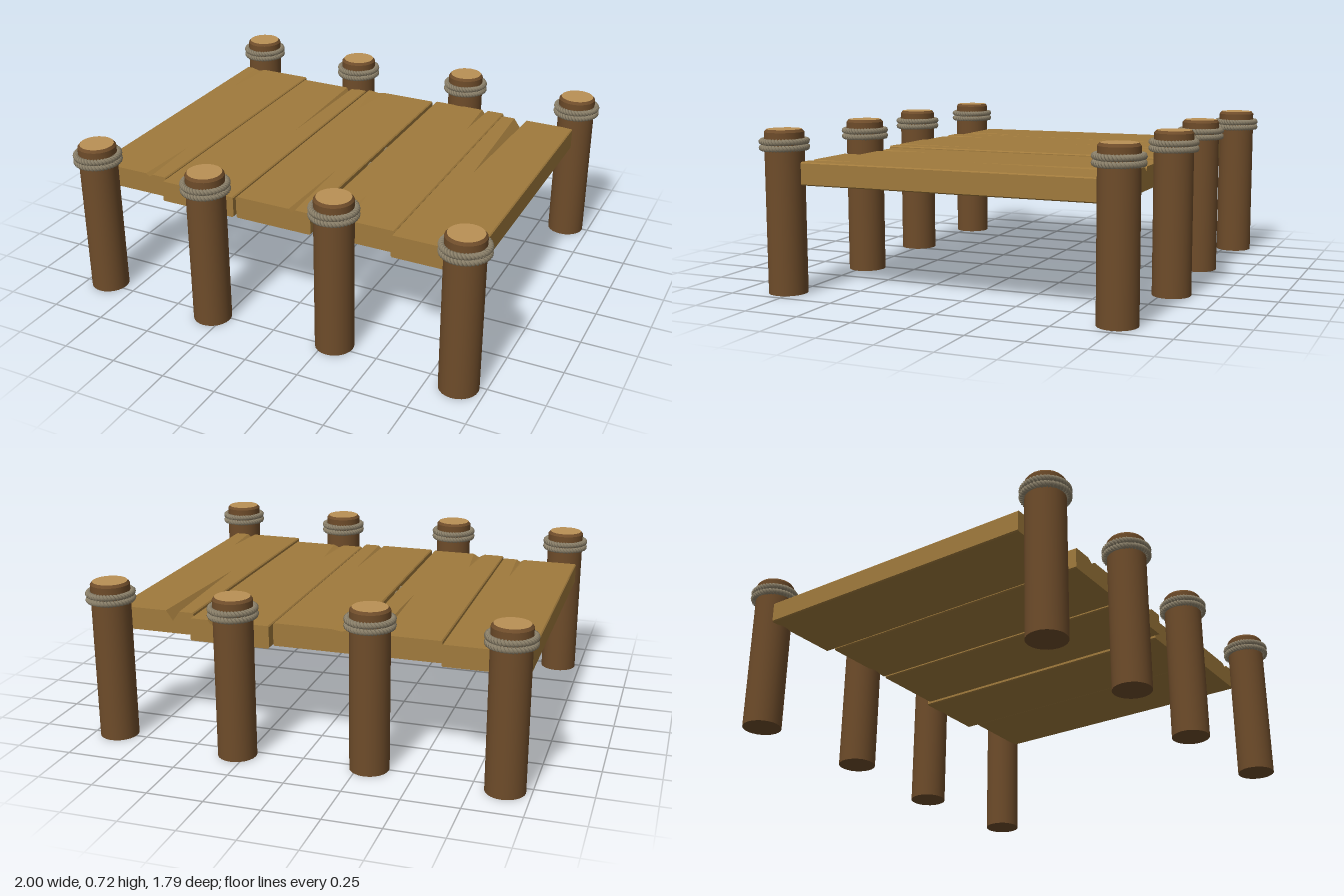
import * as THREE from 'three';
import { mergeGeometries } from 'three/addons/utils/BufferGeometryUtils.js';

const plankMat = new THREE.MeshStandardMaterial({ color: 0xa07a3c, flatShading: true });
const barkMat = new THREE.MeshStandardMaterial({ color: 0x6e4c2a });
const cutMat = new THREE.MeshStandardMaterial({ color: 0xba9055 });
const ropeMat = new THREE.MeshStandardMaterial({ color: 0x8f846d });

function addMesh(parent, name, geometry, material, x = 0, y = 0, z = 0) {
  const mesh = new THREE.Mesh(geometry, material);
  mesh.name = name;
  mesh.position.set(x, y, z);
  parent.add(mesh);
  return mesh;
}

// One strand winding around a horizontal ring
class StrandCurve extends THREE.Curve {
  constructor(radius, offset, twists, phase) {
    super();
    Object.assign(this, { radius, offset, twists, phase, arcLengthDivisions: 400 });
  }
  getPoint(t, target = new THREE.Vector3()) {
    const a = t * Math.PI * 2;
    const b = a * this.twists + this.phase;
    const r = this.radius + Math.cos(b) * this.offset;
    return target.set(Math.cos(a) * r, Math.sin(b) * this.offset, Math.sin(a) * r);
  }
}

function ropeRing(radius, thickness, twists, segments) {
  const strands = [0, Math.PI].map((phase) => new THREE.TubeGeometry(
    new StrandCurve(radius, thickness / 4, twists, phase), segments, thickness / 4 + 0.0005, 5, true));
  return mergeGeometries(strands);
}

// Plank lofted along z; every crack is a V groove that tapers from one end to its tip
function plankGeometry({ x0, x1, y0, y1, z0, z1, cracks }) {
  const bevel = 0.005;
  const sorted = [...cracks].sort((a, b) => b.x - a.x);
  const stations = [z0, z1, ...cracks.map((c) => c.tip)].sort((a, b) => a - b);
  const profile = (z) => {
    const pts = [
      [x0 + bevel, y0], [x1 - bevel, y0], [x1, y0 + bevel], [x1, y1 - bevel], [x1 - bevel, y1],
    ];
    for (const c of sorted) {
      const end = c.end > 0 ? z1 : z0;
      const f = Math.max(0, (z - c.tip) / (end - c.tip));
      pts.push([c.x + c.half * f, y1], [c.x, y1 - c.depth * f], [c.x - c.half * f, y1]);
    }
    pts.push([x0 + bevel, y1], [x0, y1 - bevel], [x0, y0 + bevel]);
    return pts.map(([x, y]) => new THREE.Vector3(x, y, z));
  };
  const loops = stations.map(profile);
  const n = loops[0].length;
  const out = [];
  const tri = (...corners) => corners.forEach((p) => out.push(p.x, p.y, p.z));
  for (let i = 0; i < loops.length - 1; i++) {
    for (let j = 0; j < n; j++) {
      const k = (j + 1) % n;
      const a = loops[i], b = loops[i + 1];
      tri(a[j], a[k], b[k]);
      tri(a[j], b[k], b[j]);
    }
  }
  // End faces
  const cap = (loop, front) => {
    const pts = loop.filter((p, i) => p.distanceTo(loop[(i + 1) % n]) > 1e-6);
    const flat = pts.map((p) => new THREE.Vector2(p.x, p.y));
    for (const [a, b, c] of THREE.ShapeUtils.triangulateShape(flat, [])) {
      if (front) tri(pts[a], pts[b], pts[c]);
      else tri(pts[a], pts[c], pts[b]);
    }
  };
  cap(loops[0], false);
  cap(loops[loops.length - 1], true);
  const geometry = new THREE.BufferGeometry();
  geometry.setAttribute('position', new THREE.Float32BufferAttribute(out, 3));
  geometry.computeVertexNormals();
  return geometry;
}

export function createModel() {
  const dock = new THREE.Group();
  dock.name = 'dock';

  // Deck planks; end: 1 = crack opens at the front, -1 = at the back
  const crack = (x, half, end, tip, depth = 0.016) => ({ x, half, end, tip, depth });
  const planks = [
    { x0: -0.96, x1: -0.593, y0: 0.48, y1: 0.576, z0: -0.717, z1: 0.642,
      cracks: [crack(-0.68, 0.018, 1, 0.32, 0.012), crack(-0.88, 0.03, -1, -0.45, 0.006)] },
    { x0: -0.586, x1: -0.222, y0: 0.48, y1: 0.577, z0: -0.68, z1: 0.68,
      cracks: [crack(-0.46, 0.028, 1, 0.43), crack(-0.315, 0.015, -1, -0.08, 0.02)] },
    { x0: -0.21, x1: 0.153, y0: 0.48, y1: 0.582, z0: -0.685, z1: 0.675,
      cracks: [crack(0.065, 0.015, 1, 0.25, 0.014), crack(-0.15, 0.04, -1, -0.43, 0.006)] },
    { x0: 0.163, x1: 0.528, y0: 0.473, y1: 0.575, z0: -0.711, z1: 0.647,
      cracks: [crack(0.29, 0.028, 1, 0.4, 0.012), crack(0.43, 0.015, -1, -0.46, 0.02)] },
    { x0: 0.534, x1: 0.898, y0: 0.48, y1: 0.582, z0: -0.662, z1: 0.695,
      cracks: [crack(0.81, 0.02, 1, 0.455), crack(0.633, 0.032, -1, 0, 0.045)] },
  ];
  planks.forEach((p, i) => addMesh(dock, `plank${i + 1}`, plankGeometry(p), plankMat));

  // Posts with a chamfered top, a pale cut face and two rope rings
  const r = 0.086, height = 0.722, chamfer = 0.012;
  const bodyGeo = new THREE.CylinderGeometry(r, r, height - chamfer, 24)
    .translate(0, (height - chamfer) / 2, 0);
  const chamferGeo = new THREE.CylinderGeometry(r - 0.01, r, chamfer, 24, 1, true)
    .translate(0, height - chamfer / 2, 0);
  const barkGeo = mergeGeometries([bodyGeo, chamferGeo]);
  const cutGeo = new THREE.CircleGeometry(r - 0.01, 24).rotateX(-Math.PI / 2);
  const ringGeo = ropeRing(0.095, 0.029, 20, 200);
  const posts = [
    [-0.89, -0.793], [-0.3, -0.756], [0.29, -0.791], [0.887, -0.742],
    [-0.89, 0.728], [-0.303, 0.765], [0.293, 0.731], [0.887, 0.782],
  ];
  posts.forEach(([x, z], i) => {
    const post = new THREE.Group();
    post.name = `post${i + 1}`;
    post.position.set(x, 0, z);
    addMesh(post, 'postBody', barkGeo, barkMat);
    addMesh(post, 'postCutFace', cutGeo, cutMat, 0, height, 0);
    addMesh(post, 'lowerRope', ringGeo, ropeMat, 0, 0.643, 0);
    addMesh(post, 'upperRope', ringGeo, ropeMat, 0, 0.67, 0).rotation.y = 0.15;
    dock.add(post);
  });

  // Small rope loops in the gaps between planks
  const loopGeo = ropeRing(0.032, 0.012, 12, 100).rotateZ(Math.PI / 2);
  [[-0.216, -0.04], [-0.216, 0.04], [0.158, -0.095], [0.158, 0.085]]
    .forEach(([x, z]) => addMesh(dock, 'gapRope', loopGeo, ropeMat, x, 0.53, z));

  return dock;
}
